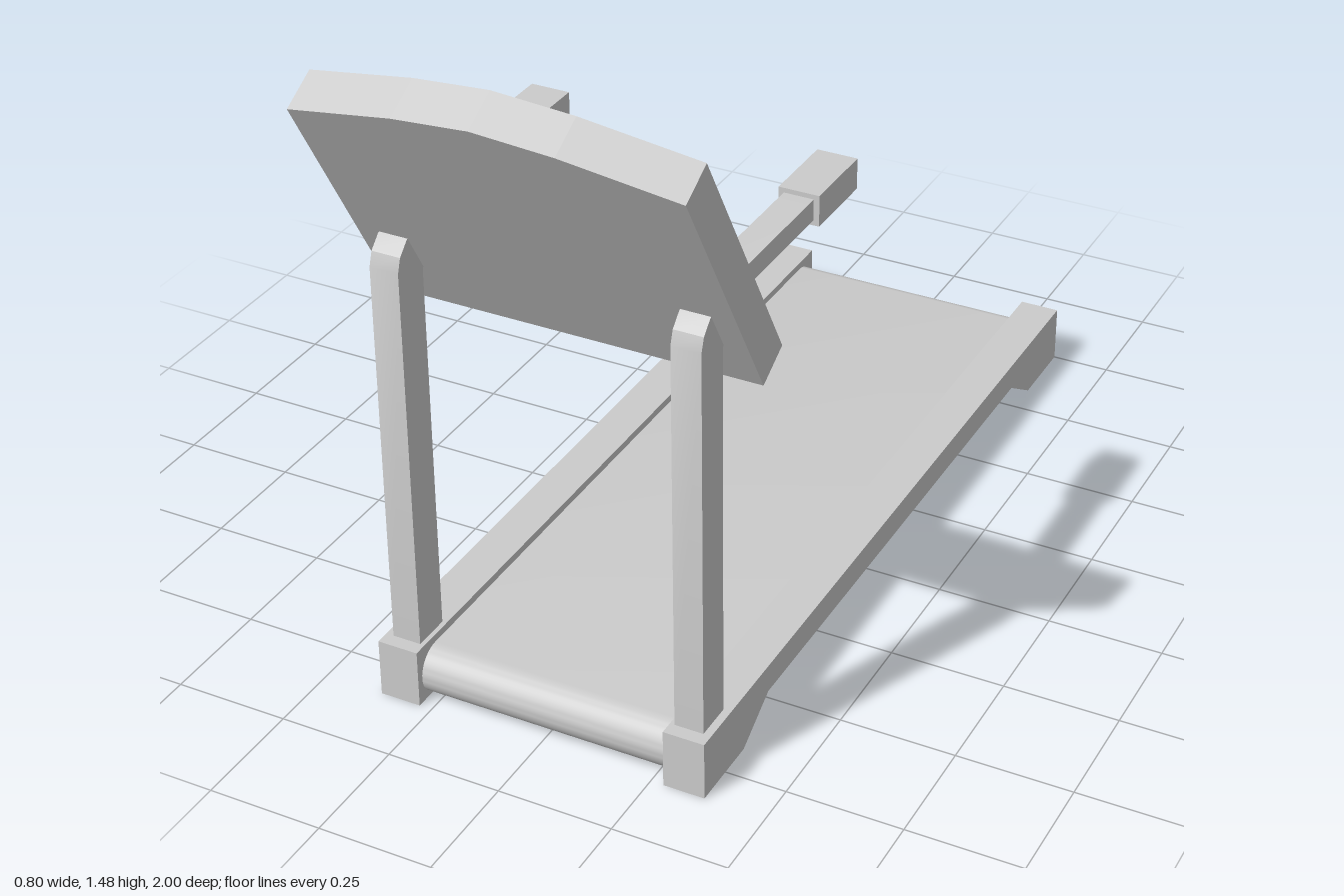
import * as THREE from 'three';
import { toCreasedNormals } from 'three/addons/utils/BufferGeometryUtils.js';

const material = new THREE.MeshStandardMaterial({ color: 0xcccccc });

function addMesh(parent, name, geometry) {
  const mesh = new THREE.Mesh(geometry, material);
  mesh.name = name;
  parent.add(mesh);
  return mesh;
}

const polygon = (points) => new THREE.Shape(points.map(([a, b]) => new THREE.Vector2(a, b)));

// Extrudes a side outline, given as (z, y), across x from x0 to x1
function sideExtrude(shape, x0, x1) {
  const geometry = new THREE.ExtrudeGeometry(shape, { depth: x1 - x0, bevelEnabled: false, curveSegments: 12 });
  geometry.rotateY(-Math.PI / 2);
  geometry.translate(x1, 0, 0);
  return toCreasedNormals(geometry, 0.45);
}

// Flat slab in the console plane, from depth w0 to w1
function slab(shape, w0, w1) {
  const geometry = new THREE.ExtrudeGeometry(shape, { depth: w1 - w0, bevelEnabled: false });
  geometry.translate(0, 0, w0);
  return geometry;
}

// Console outline with a shallow faceted arch on top
function consoleOutline(halfWidth, bottom, drop) {
  return [
    [-halfWidth, bottom], [halfWidth, bottom], [halfWidth, 0.605 - drop],
    [0.165, 0.66 - drop], [0, 0.68 - drop], [-0.165, 0.66 - drop], [-halfWidth, 0.605 - drop],
  ];
}

export function createModel() {
  const model = new THREE.Group();
  model.name = 'treadmill';

  // Running belt wrapped round both end rollers, raised underneath
  const r = 0.055, cy = 0.058, front = 0.77, back = -0.93;
  const belt = new THREE.Shape();
  belt.moveTo(0.67, cy - r);
  belt.lineTo(front, cy - r);
  belt.absarc(front, cy, r, -Math.PI / 2, Math.PI / 2, false);
  belt.lineTo(back, cy + r);
  belt.absarc(back, cy, r, Math.PI / 2, Math.PI * 1.5, false);
  belt.lineTo(-0.83, cy - r);
  belt.lineTo(-0.72, 0.071);
  belt.lineTo(0.56, 0.071);
  belt.closePath();
  addMesh(model, 'runningBelt', sideExtrude(belt, -0.28, 0.28));

  const rail = polygon([
    [0.84, 0], [0.84, 0.13], [-1, 0.13], [-1, 0],
    [-0.83, 0], [-0.72, 0.068], [0.56, 0.068], [0.67, 0],
  ]);
  // Upright that bends back into the handle bar
  const upright = polygon([
    [0.725, 0.12], [0.81, 0.12], [0.81, 0.985], [0.8, 1.015], [0.775, 1.04],
    [0.72, 1.068], [0.66, 1.075], [0.34, 1.075], [0.34, 1.03],
    [0.68, 1.03], [0.71, 1.0], [0.725, 0.95],
  ]);
  for (const [side, s] of [['left', 1], ['right', -1]]) {
    const span = (a, b) => (s > 0 ? [a, b] : [-b, -a]);
    addMesh(model, side + 'Rail', sideExtrude(rail, ...span(0.278, 0.368)));
    addMesh(model, side + 'UprightAndHandle', sideExtrude(upright, ...span(0.288, 0.351)));
    const grip = addMesh(model, side + 'Grip', new THREE.BoxGeometry(0.086, 0.066, 0.172));
    grip.position.set(s * 0.32, 1.052, 0.258);
  }

  // Tilted console: back plate, raised rim and stepped lower panel
  const console3d = new THREE.Group();
  console3d.name = 'console';
  console3d.position.set(0, 0.85, 0.66);
  console3d.rotation.x = Math.PI / 6;
  model.add(console3d);

  const outer = consoleOutline(0.402, 0, 0);
  addMesh(console3d, 'consoleBack', slab(polygon(outer), -0.066, 0));

  const rim = polygon(outer);
  rim.holes.push(polygon(consoleOutline(0.37, 0.028, 0.028).reverse()));
  addMesh(console3d, 'consoleRim', slab(rim, -0.09, -0.066));

  const lower = addMesh(console3d, 'lowerPanel', new THREE.BoxGeometry(0.74, 0.197, 0.014));
  lower.position.set(0, 0.1265, -0.071);

  return model;
}
